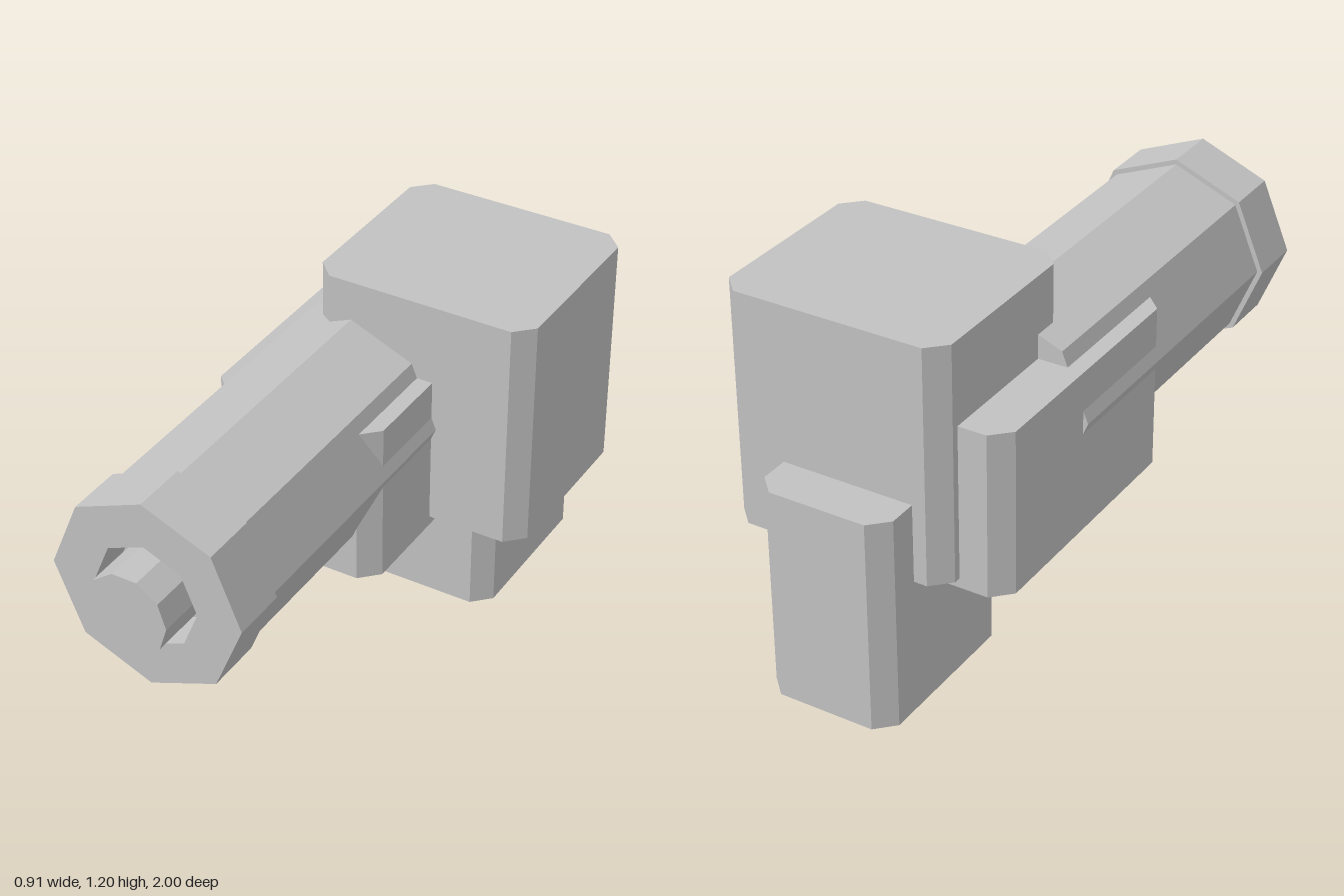
import * as THREE from 'three';

const grey = new THREE.MeshStandardMaterial({ color: 0xc2c2c2, flatShading: true });
grey.name = 'plain grey';

// Vertical prism from a floor outline of [x, z] points
function prism(name, outline, y0, y1) {
  const shape = new THREE.Shape(outline.map(([x, z]) => new THREE.Vector2(x, -z)));
  const geo = new THREE.ExtrudeGeometry(shape, { depth: y1 - y0, bevelEnabled: false });
  geo.rotateX(-Math.PI / 2).translate(0, y0, 0);
  const mesh = new THREE.Mesh(geo, grey);
  mesh.name = name;
  return mesh;
}

// Box with its four upright edges cut off
function chamferedBlock(name, x0, x1, y0, y1, z0, z1, c = 0.057) {
  return prism(name, [
    [x0 + c, z1], [x1 - c, z1], [x1, z1 - c], [x1, z0 + c],
    [x1 - c, z0], [x0 + c, z0], [x0, z0 + c], [x0, z1 - c],
  ], y0, y1);
}

// Faceted turned part along z; profile points are [radius, z]
function turned(name, profile, sides) {
  const pts = profile.map(([r, z]) => new THREE.Vector2(r, z));
  const geo = new THREE.LatheGeometry(pts, sides, Math.PI / 2).rotateX(Math.PI / 2);
  const mesh = new THREE.Mesh(geo, grey);
  mesh.position.set(-0.142, 0.775, 0);
  mesh.name = name;
  return mesh;
}

export function createModel() {
  const model = new THREE.Group();
  model.name = 'blockyDevice';

  // Housing, rear post and the cradle holding the barrel
  model.add(
    chamferedBlock('housing', -0.275, 0.453, 0.442, 1.204, -0.85, -0.205),
    chamferedBlock('rearPost', -0.175, 0.255, 0, 0.697, -1, -0.385),
    chamferedBlock('barrelCradle', -0.424, 0.14, 0.41, 0.94, -0.77, 0.142),
  );

  // Small ridge on the left side of the post
  model.add(prism('postRidge', [
    [0.24, -0.61], [0.255, -0.61], [0.274, -0.645], [0.255, -0.685], [0.24, -0.685],
  ], 0.16, 0.5));

  // Octagonal barrel, hollow collar and inner nozzle
  model.add(
    turned('barrel', [[0, -0.345], [0.298, -0.345], [0.298, 0.73], [0, 0.73]], 8),
    turned('collar', [[0, 0.725], [0.315, 0.725], [0.315, 0.905], [0.17, 0.905], [0.17, 0.77], [0, 0.77]], 8),
    turned('nozzle', [[0, 0.74], [0.132, 0.74], [0.132, 1], [0, 1]], 10),
  );
  return model;
}
